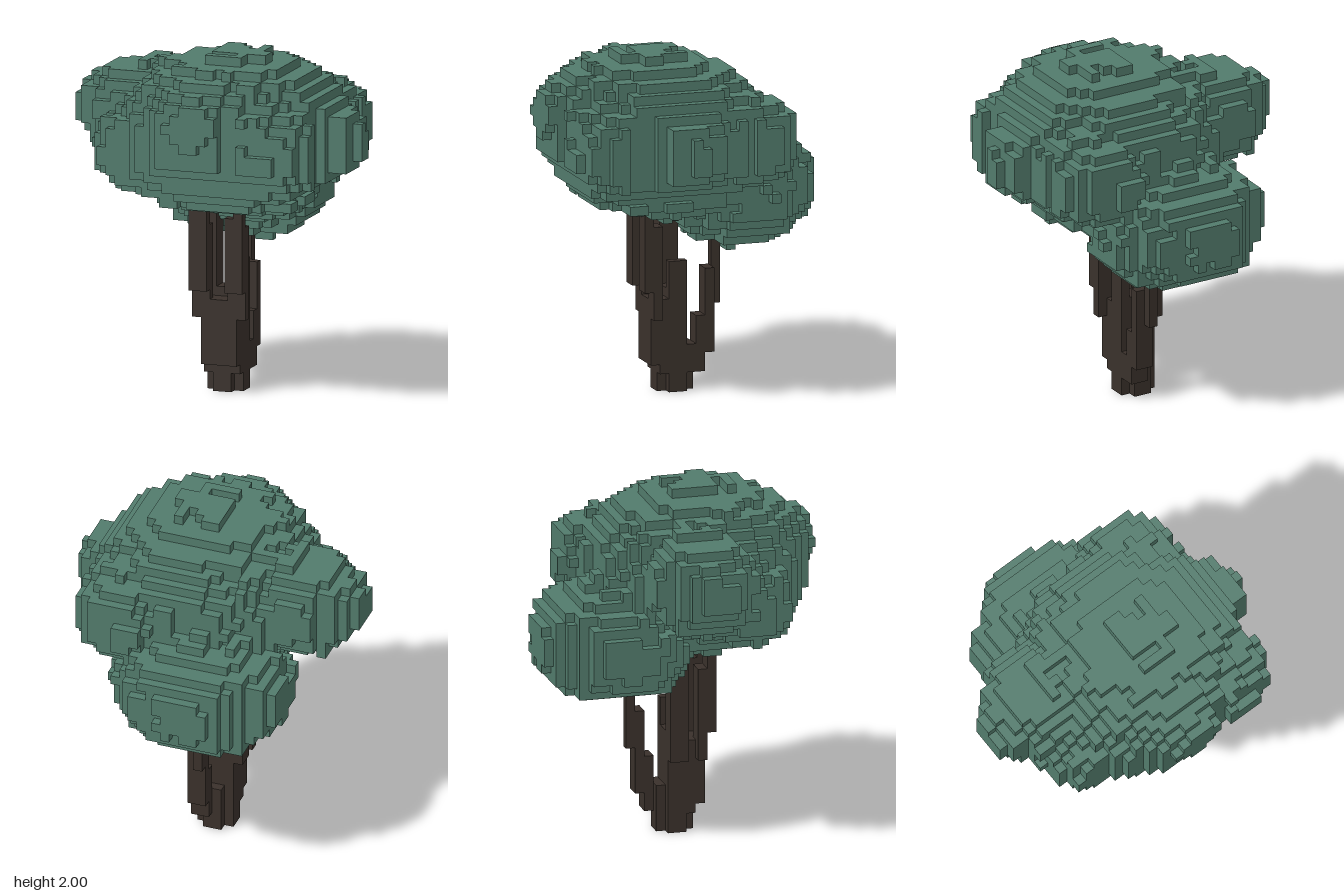
import * as THREE from 'three';

const V = 2 / 37; // voxel edge length
const FIRST = 15; // lowest layer of foliage

// Crown lobes in voxel units: centre x, y, z and radii x, y, z
const LOBES = [
  [2, 28.2, 3, 12, 8.9, 11.5],     // main dome
  [-9.5, 29.5, 0.5, 6.6, 5.4, 5.5], // left
  [-7, 26.5, 6, 5.5, 4.6, 5],      // low front left
  [10, 28, 2.5, 6.2, 5, 4.7],      // right
  [1, 30.7, 9, 6, 4.6, 6.1],       // front
  [8, 27.5, 8, 6, 5, 5.7],         // front right
  [8, 28, -5, 5.6, 4.7, 6.1],      // back right
  [-1, 21.5, -7, 9.5, 6.3, 8.1],   // low lobe at the back
];

// Crown outlines: x span per layer, z span per layer, x span per depth row
const SPAN_X = [[0, 3], [-4, 5], [-7, 6], [-9, 7], [-10, 8], [-10, 9], [-10, 10], [-10, 9],
  [-10, 11], [-12, 13], [-13, 15], [-14, 16], [-15, 16], [-16, 16], [-16, 16], [-16, 15],
  [-16, 13], [-15, 12], [-13, 11], [-9, 10], [-6, 8], [0, 6]];
const SPAN_Z = [[-6, -5], [-11, -1], [-13, -1], [-14, 2], [-15, 3], [-15, 6], [-15, 10], [-15, 11],
  [-15, 12], [-14, 12], [-13, 13], [-11, 14], [-11, 14], [-11, 15], [-10, 15], [-10, 15],
  [-10, 15], [-8, 15], [-6, 14], [-5, 12], [-2, 10], [0, 8]];
const SPAN_TOP = [[-4, 2], [-5, 5], [-6, 6], [-7, 6], [-9, 8], [-10, 11], [-10, 12], [-10, 13],
  [-10, 13], [-11, 13], [-12, 12], [-12, 13], [-14, 13], [-15, 13], [-16, 15], [-16, 16],
  [-16, 16], [-16, 16], [-15, 15], [-13, 15], [-13, 13], [-12, 12], [-12, 12], [-11, 12],
  [-11, 13], [-7, 13], [-6, 12], [-4, 12], [-3, 10], [-2, 4]];

// Trunk blocks: x0, x1, y0, y1, z0, z1
const TRUNK = [
  [-2, 2, 0, 8, -1, 1], [-2, 1, 8, 11, -1, 1], [-1, 1, 0, 5, -2, 2], [-2, 2, 2, 10, 1, 2],
  [-1, 2, 2, 5, -2, -1], [-2, 2, 3, 10, 2, 3],                        // base
  [-3, -1, 8, 18, 2, 3], [-3, -1, 11, 20, 3, 4], [-3, -2, 11, 21, 3, 4], // front left branch
  [1, 3, 8, 18, 2, 3], [1, 3, 11, 19, 3, 4], [2, 3, 11, 20, 3, 4],    // front right branch
  [-3, -1, 8, 19, -1, 1], [1, 2, 8, 14, -1, 1],                       // middle branches
  [0, 2, 2, 8, -3, -2], [0, 2, 4, 13, -4, -3], [0, 1, 9, 17, -5, -4], // back branch
];

const within = (span, v) => span !== undefined && v >= span[0] && v < span[1];
const key = (x, y, z) => `${x},${y},${z}`;

// Repeatable value from 0 to 1 for each cell
function hash(x, y, z) {
  const s = Math.sin(x * 12.99 + y * 78.23 + z * 37.72) * 43758.55;
  return s - Math.floor(s);
}

function isLeaf(x, y, z) {
  if (!within(SPAN_X[y - FIRST], x) || !within(SPAN_Z[y - FIRST], z)) return false;
  if (!within(SPAN_TOP[z + 15], x)) return false;
  if (z === 13 && (x === 4 || x === 5)) return false; // notch between front lobes
  const rough = 1.01 + 0.09 * (hash(x >> 1, y >> 1, z >> 1) - 0.5) + 0.05 * (hash(x, y, z) - 0.5);
  return LOBES.some(([cx, cy, cz, rx, ry, rz]) =>
    Math.hypot((x + 0.5 - cx) / rx, (y + 0.5 - cy) / ry, (z + 0.5 - cz) / rz) < rough);
}

// Builds only the exposed faces of a set of voxels
function voxelMesh(name, cells, material) {
  const pos = [], nor = [], idx = [];
  for (const c of cells.values()) {
    for (let a = 0; a < 3; a++) {
      for (const s of [-1, 1]) {
        const n = [0, 0, 0];
        n[a] = s;
        if (cells.has(key(c[0] + n[0], c[1] + n[1], c[2] + n[2]))) continue;
        const u = (a + 1) % 3, w = (a + 2) % 3, base = pos.length / 3;
        for (const [i, j] of [[0, 0], [1, 0], [1, 1], [0, 1]]) {
          const p = [...c];
          p[a] += s > 0 ? 1 : 0;
          p[u] += i;
          p[w] += j;
          pos.push(p[0] * V, p[1] * V, p[2] * V);
          nor.push(...n);
        }
        const order = s > 0 ? [0, 1, 2, 0, 2, 3] : [0, 2, 1, 0, 3, 2];
        idx.push(...order.map((k) => base + k));
      }
    }
  }
  const geo = new THREE.BufferGeometry();
  geo.setAttribute('position', new THREE.Float32BufferAttribute(pos, 3));
  geo.setAttribute('normal', new THREE.Float32BufferAttribute(nor, 3));
  geo.setIndex(idx);
  const mesh = new THREE.Mesh(geo, material);
  mesh.name = name;
  return mesh;
}

export function createModel() {
  const leafGreen = new THREE.MeshStandardMaterial({ color: 0x527b6c });
  leafGreen.name = 'leaf green';
  const barkBrown = new THREE.MeshStandardMaterial({ color: 0x3a312b });
  barkBrown.name = 'bark brown';

  const trunk = new Map();
  for (const [x0, x1, y0, y1, z0, z1] of TRUNK)
    for (let x = x0; x < x1; x++)
      for (let y = y0; y < y1; y++)
        for (let z = z0; z < z1; z++) trunk.set(key(x, y, z), [x, y, z]);

  const leaves = new Map();
  for (let x = -16; x < 16; x++)
    for (let y = FIRST; y < 37; y++)
      for (let z = -15; z < 15; z++) {
        const k = key(x, y, z);
        if (!trunk.has(k) && isLeaf(x, y, z)) leaves.set(k, [x, y, z]);
      }

  const tree = new THREE.Group();
  tree.name = 'tree';
  tree.add(voxelMesh('trunk', trunk, barkBrown), voxelMesh('foliage', leaves, leafGreen));
  return tree;
}
